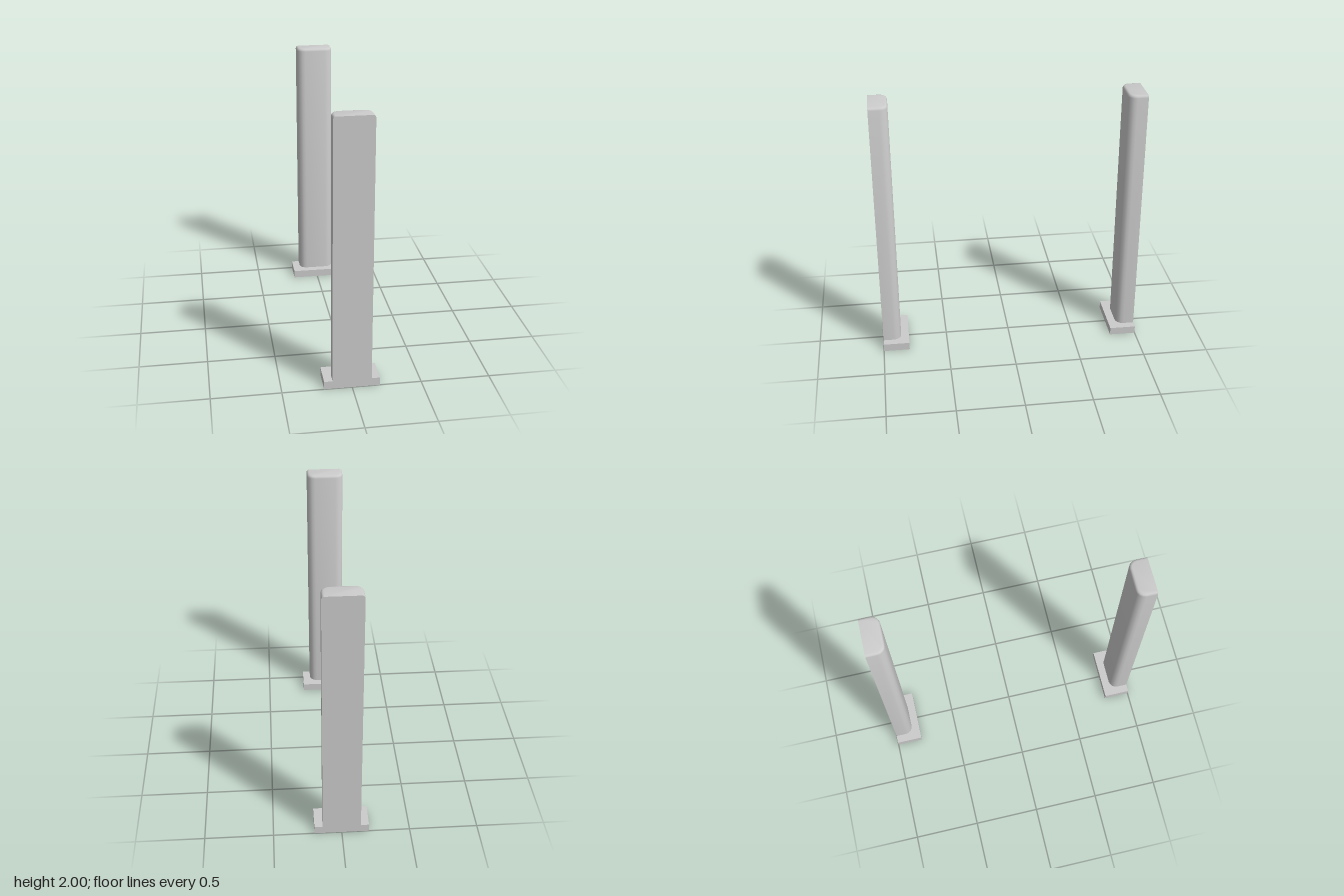
import * as THREE from 'three';
import { toCreasedNormals } from 'three/addons/utils/BufferGeometryUtils.js';

const HALF = 0.14, INNER = 0.86, OUTER = 1, RADIUS = 0.06;
const BASE = 0.06, TOP = 2, BEVEL = 0.02;

// D-shaped outline: flat at the outer face, rounded at the two inner corners
function outline(inset) {
  const r = RADIUS - inset, pts = [new THREE.Vector2(-HALF + inset, OUTER)];
  for (const side of [-1, 1]) {
    for (let i = 0; i <= 4; i++) {
      const a = (side < 0 ? i : 4 - i) / 4 * Math.PI / 2;
      pts.push(new THREE.Vector2(
        side * (HALF - RADIUS + r * Math.cos(a)),
        INNER + RADIUS - r * Math.sin(a)));
    }
  }
  pts.push(new THREE.Vector2(HALF - inset, OUTER));
  return pts;
}

// Stack of outlines with a softened top edge
function postGeometry() {
  const levels = [[0, BASE]];
  for (let i = 0; i <= 3; i++) {
    const a = i / 3 * Math.PI / 2;
    levels.push([BEVEL * (1 - Math.cos(a)), TOP - BEVEL + BEVEL * Math.sin(a)]);
  }
  const pos = [], index = [];
  for (const [inset, y] of levels) for (const p of outline(inset)) pos.push(p.x, y, p.y);
  const n = outline(0).length;
  for (let l = 0; l < levels.length - 1; l++) {
    for (let i = 0; i < n; i++) {
      const a = l * n + i, b = l * n + (i + 1) % n;
      index.push(a, a + n, b, b, a + n, b + n);
    }
  }
  // Top and bottom caps
  const last = (levels.length - 1) * n;
  for (let i = 1; i < n - 1; i++) {
    index.push(last, last + i + 1, last + i, 0, i, i + 1);
  }
  const geo = new THREE.BufferGeometry();
  geo.setAttribute('position', new THREE.Float32BufferAttribute(pos, 3));
  geo.setIndex(index);
  return toCreasedNormals(geo, 0.7);
}

export function createModel() {
  const model = new THREE.Group();
  model.name = 'postPair';
  const material = new THREE.MeshStandardMaterial({ color: 0xcccccc });
  const postGeo = postGeometry();
  const baseGeo = new THREE.BoxGeometry(0.4, BASE, 0.2);

  // Two matching posts with their rounded sides facing each other
  for (const name of ['frontPost', 'backPost']) {
    const group = new THREE.Group();
    group.name = name;
    const column = new THREE.Mesh(postGeo, material);
    column.name = 'column';
    const base = new THREE.Mesh(baseGeo, material);
    base.name = 'basePlate';
    base.position.set(0, BASE / 2, 0.9);
    group.add(column, base);
    if (name === 'backPost') group.rotation.y = Math.PI;
    model.add(group);
  }
  return model;
}
